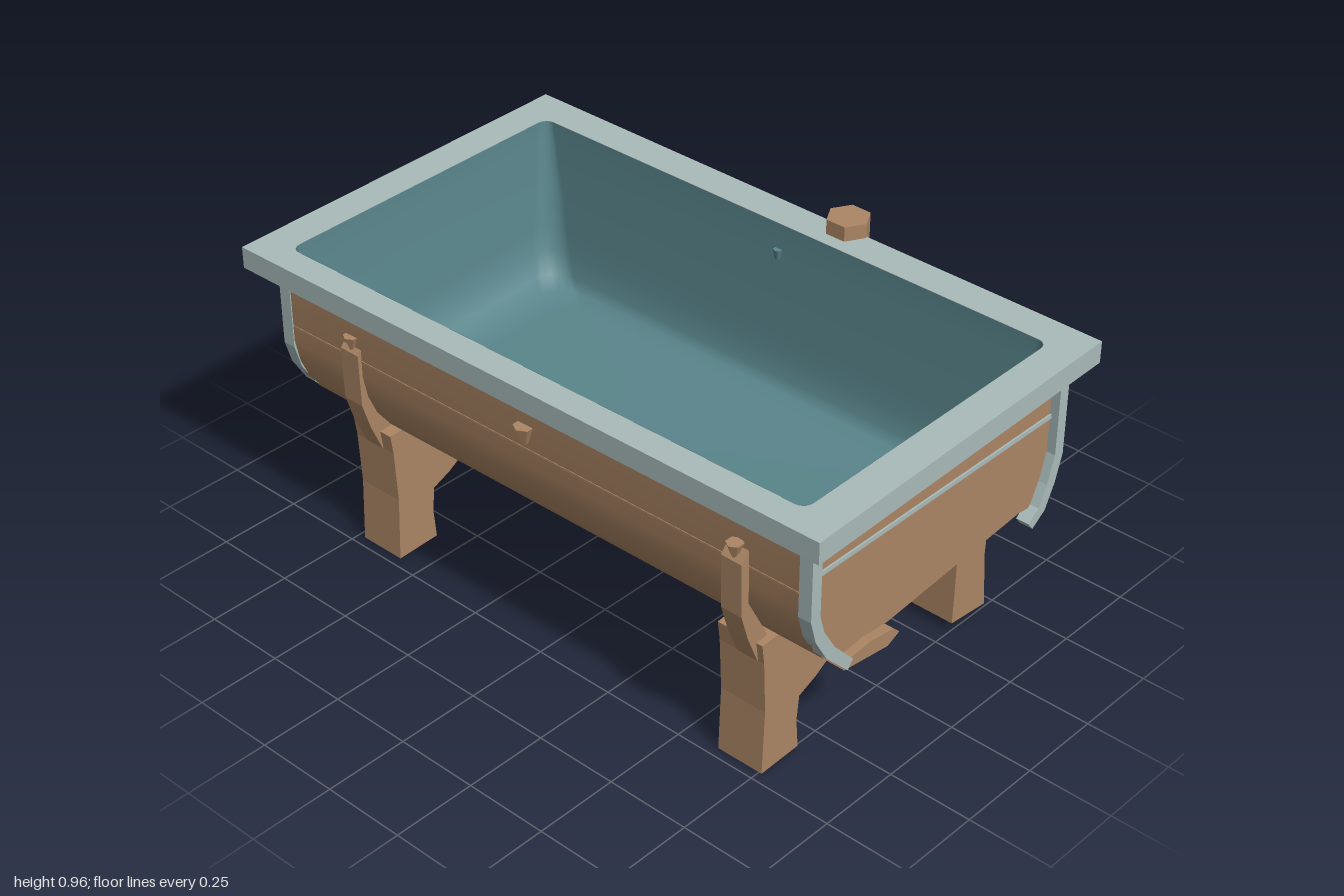
import * as THREE from 'three';
import { toCreasedNormals } from 'three/addons/utils/BufferGeometryUtils.js';

export function createModel() {
  const group = new THREE.Group();
  const material = (name, color, side = THREE.FrontSide) => {
    const m = new THREE.MeshStandardMaterial({ color, side });
    m.name = name;
    return m;
  };
  const wood = material('brown wood', 0xac8664);
  const trim = material('pale grey trim', 0xa9bbba);
  const enamel = material('teal enamel', 0x59858b, THREE.DoubleSide);

  const add = (name, geometry, mat) => {
    const mesh = new THREE.Mesh(geometry, mat);
    mesh.name = name;
    group.add(mesh);
    return mesh;
  };

  // Moves every vertex by a rule
  const warp = (g, rule) => {
    const p = g.attributes.position;
    for (let i = 0; i < p.count; i++) p.setXYZ(i, ...rule(p.getX(i), p.getY(i), p.getZ(i)));
    return g;
  };
  // The tub is slightly deeper at its right end
  const skew = (g) => warp(g, (x, y, z) => [x, y, z - 0.015 * x * (z + 0.55) / 1.15]);
  // The rim and basin tilt gently down towards the front
  const tilt = (g) => warp(g, (x, y, z) => [x, y - 0.015 * z, z]);
  // The underside rises towards both ends
  const bulge = (g) => warp(g, (x, y, z) => [x, y < 0.42 && z < 0.3 ? y + 0.045 * (x / 0.9) ** 8 : y, z]);

  // Extrudes a [z, y] outline along x, centred on cx
  const slab = (points, width, cx, steps = 1) => {
    const shape = new THREE.Shape(points.map(([z, y]) => new THREE.Vector2(z, y)));
    const g = new THREE.ExtrudeGeometry(shape, { depth: width, steps, bevelEnabled: false });
    g.rotateY(-Math.PI / 2);
    g.translate(cx + width / 2, 0, 0);
    return g;
  };

  // Wooden body: U-shaped trough with two end panels
  const outer = [
    [0.517, 0.87], [0.517, 0.62], [0.503, 0.55], [0.475, 0.485], [0.43, 0.425], [0.37, 0.385],
    [0.29, 0.362], [0.18, 0.353], [-0.36, 0.4], [-0.42, 0.44], [-0.46, 0.515], [-0.478, 0.59], [-0.48, 0.87],
  ];
  const inner = outer.map(([z, y]) => [0.0185 + (z - 0.0185) * 0.99, 0.87 + (y - 0.87) * 0.99]).reverse();
  add('body', toCreasedNormals(skew(bulge(slab([...outer, ...inner], 1.79, 0, 16))), 0.6), wood);
  for (const s of [-1, 1]) add('endPanel', skew(bulge(slab(outer, 0.012, s * 0.899))), wood);

  // Closed rounded rectangle in x and z
  const roundedRing = (x, zb, zf, r) => {
    const pts = [];
    const corners = [[x - r, zf - r], [-x + r, zf - r], [-x + r, zb + r], [x - r, zb + r]];
    corners.forEach(([cx, cz], k) => {
      for (let i = 0; i <= 5; i++) {
        const a = (k + i / 5) * Math.PI / 2;
        pts.push([cx + r * Math.cos(a), cz + r * Math.sin(a)]);
      }
    });
    return pts;
  };

  // Rim
  const rimShape = new THREE.Shape([[-0.993, -0.585], [1, -0.585], [0.985, 0.55], [-0.995, 0.555]]
    .map(([x, y]) => new THREE.Vector2(x, y)));
  rimShape.holes.push(new THREE.Path(
    roundedRing(0.89, -0.45, 0.505, 0.03).map(([x, z]) => new THREE.Vector2(x, -z))));
  const rimGeometry = new THREE.ExtrudeGeometry(rimShape, { depth: 0.064, bevelEnabled: false });
  rimGeometry.rotateX(-Math.PI / 2);
  rimGeometry.translate(0, 0.85, 0);
  add('rim', toCreasedNormals(skew(tilt(rimGeometry)), 0.5), trim);

  // Basin: rounded rings from the top of the rim down to the floor
  const rings = [
    [0.9135, 0.889, -0.449, 0.504, 0.03], [0.85, 0.886, -0.447, 0.502, 0.04], [0.7, 0.868, -0.434, 0.491, 0.06],
    [0.6, 0.857, -0.423, 0.475, 0.07], [0.53, 0.848, -0.415, 0.45, 0.08], [0.465, 0.82, -0.402, 0.405, 0.08],
    [0.437, 0.77, -0.38, 0.36, 0.08], [0.425, 0.7, -0.33, 0.29, 0.08], [0.422, 0, 0, 0, 0],
  ];
  const verts = [], index = [];
  rings.forEach(([y, ...r], i) => {
    const ring = roundedRing(...r);
    const n = ring.length;
    ring.forEach(([x, z], j) => {
      verts.push(x, y, z);
      if (i === rings.length - 1) return;
      const a = i * n + j, b = i * n + (j + 1) % n;
      index.push(a, a + n, b, b, a + n, b + n);
    });
  });
  const basin = new THREE.BufferGeometry();
  basin.setAttribute('position', new THREE.Float32BufferAttribute(verts, 3));
  basin.setIndex(index);
  skew(tilt(basin)).computeVertexNormals();
  add('basin', basin, enamel);

  // Pale corner strips following the ends of the trough
  const frontStrip = [
    [0.52, 0.86], [0.52, 0.6], [0.5, 0.53], [0.455, 0.455], [0.37, 0.37],
    [0.35, 0.395], [0.425, 0.475], [0.468, 0.545], [0.485, 0.6], [0.485, 0.86],
  ];
  const backStrip = [
    [-0.5, 0.87], [-0.5, 0.58], [-0.475, 0.5], [-0.44, 0.43], [-0.39, 0.395],
    [-0.37, 0.42], [-0.41, 0.45], [-0.44, 0.51], [-0.465, 0.59], [-0.465, 0.87],
  ];
  for (const s of [-1, 1]) {
    add('frontCornerStrip', skew(slab(frontStrip, 0.04, s * 0.912)), trim);
    add('backCornerStrip', skew(slab(backStrip, 0.04, s * 0.912)), trim);
  }

  // Thin seams between the upper and lower boards
  const plate = (name, w, h, d, x, y, z, mat) => {
    const g = new THREE.BoxGeometry(w, h, d);
    g.translate(x, y, z);
    add(name, skew(g), mat);
  };
  for (const s of [-1, 1]) plate('endSeam', 0.008, 0.013, 0.95, s * 0.906, 0.701, 0.01, trim);
  plate('backSeam', 1.78, 0.013, 0.008, 0, 0.695, -0.481, trim);
  plate('frontSeam', 1.78, 0.006, 0.006, 0, 0.668, 0.516, wood);

  // Legs: the front pair has a stepped bracket reaching under the tub
  const frontLeg = [
    [0.47, 0.005], [0.33, 0.01], [0.338, 0.1], [0.33, 0.175], [0.27, 0.2], [0.185, 0.25], [0.18, 0.37],
    [0.4, 0.425], [0.478, 0.42], [0.47, 0.36], [0.462, 0.2],
  ];
  const backLeg = [
    [-0.312, 0.035], [-0.455, 0.022], [-0.44, 0.2], [-0.45, 0.36], [-0.465, 0.41], [-0.4, 0.43], [-0.32, 0.41],
  ];
  // Straps climb the wall above each leg
  const frontStrap = [
    [0.472, 0.36], [0.51, 0.45], [0.535, 0.53], [0.538, 0.69], [0.512, 0.72], [0.51, 0.56], [0.44, 0.43],
  ];
  const backStrap = [
    [-0.45, 0.36], [-0.475, 0.41], [-0.512, 0.5], [-0.518, 0.68], [-0.475, 0.69], [-0.475, 0.57], [-0.42, 0.44],
  ];
  // Pegs taper downwards
  const peg = (name, x, y, z, r) => {
    const g = new THREE.CylinderGeometry(r, r * 0.3, r * 1.8, 6).toNonIndexed();
    g.computeVertexNormals();
    add(name, g, wood).position.set(x, y, z);
  };
  for (const [legX, strapX] of [[-0.655, -0.655], [0.685, 0.705]]) {
    add('frontLeg', slab(frontLeg, 0.147, legX), wood);
    add('frontStrap', slab(frontStrap, 0.067, strapX), wood);
    peg('frontPeg', strapX, 0.715, 0.526, 0.024);
    add('backLeg', slab(backLeg, 0.14, legX), wood);
    add('backStrap', slab(backStrap, 0.06, legX), wood);
    peg('backPeg', legX, 0.7, -0.49, 0.022);
  }
  peg('centrePeg', -0.01, 0.715, 0.522, 0.03);

  // Small lips under the front corners
  const lip = [[0.37, 0.375], [0.2, 0.352], [0.155, 0.372], [0.18, 0.395], [0.27, 0.408], [0.36, 0.4]];
  for (const s of [-1, 1]) add('cornerLip', slab(lip, 0.08, s * 0.89), wood);

  // Small bosses on the basin walls
  for (const [y, z] of [[0.83, -0.442], [0.8, 0.494], [0.7, 0.486]]) {
    const g = new THREE.CylinderGeometry(0.014, 0.008, 0.03, 6);
    add('basinBoss', g, enamel).position.set(0, y, z);
  }

  // Hexagonal post on the back rim with its sloping bracket
  const post = new THREE.CylinderGeometry(0.063, 0.063, 0.14, 6).toNonIndexed();
  post.computeVertexNormals();
  post.rotateY(Math.PI / 6);
  add('post', post, wood).position.set(0.157, 0.895, -0.546);
  add('postBracket', slab([[-0.47, 0.77], [-0.47, 0.86], [-0.598, 0.86], [-0.598, 0.82]], 0.075, 0.157), wood);

  return group;
}
